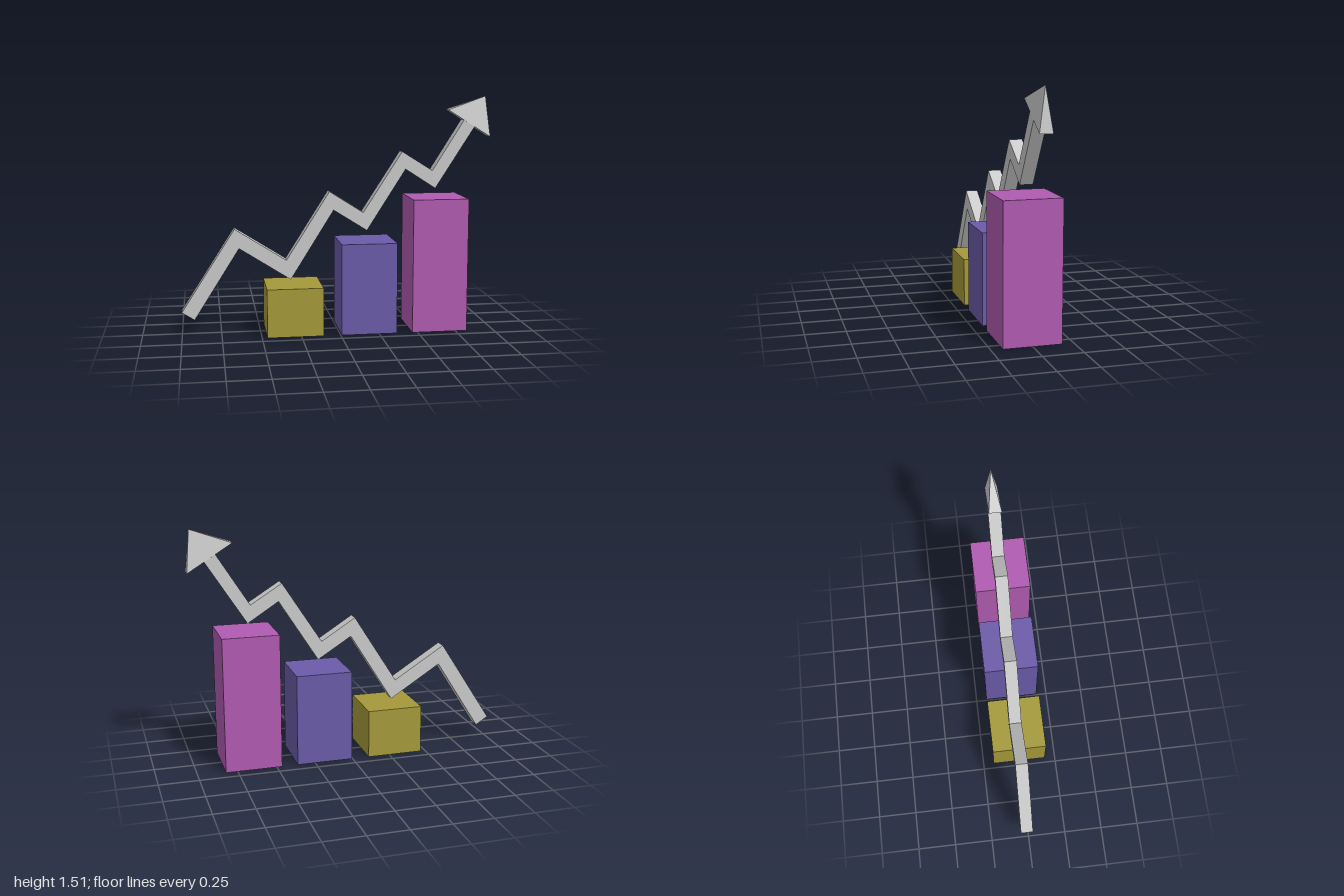
import * as THREE from 'three';

const flat = (name, color) => new THREE.MeshStandardMaterial({ name, color });

const Z_BACK = -0.053, Z_FRONT = 0.028;

// Zigzag ribbon of constant thickness, extruded from its outline
function ribbonGeometry() {
  const upper = [[-1, 0.145], [-0.66, 0.675], [-0.33, 0.466], [-0.052, 0.905], [0.168, 0.765], [0.42, 1.155], [0.62, 1.03], [0.825, 1.354]];
  const lower = [[-0.92, 0.094], [-0.632, 0.55], [-0.303, 0.34], [-0.025, 0.785], [0.192, 0.648], [0.443, 1.042], [0.64, 0.915], [0.895, 1.311]];
  const outline = [...lower, ...upper.reverse()].map(([x, y]) => new THREE.Vector2(x, y));
  const geometry = new THREE.ExtrudeGeometry(new THREE.Shape(outline), { depth: Z_FRONT - Z_BACK, bevelEnabled: false });
  return geometry.translate(0, 0, Z_BACK);
}

// Flat-faced pyramid with a rectangular base
function headGeometry() {
  const a = [0.72, 1.42, Z_FRONT], b = [1, 1.245, Z_FRONT];
  const c = [1, 1.245, Z_BACK], d = [0.72, 1.42, Z_BACK];
  const tip = [0.975, 1.507, (Z_FRONT + Z_BACK) / 2];
  const faces = [a, b, tip, b, c, tip, c, d, tip, d, a, tip, a, d, c, a, c, b];
  const geometry = new THREE.BufferGeometry();
  geometry.setAttribute('position', new THREE.Float32BufferAttribute(faces.flat(), 3));
  geometry.computeVertexNormals();
  return geometry;
}

export function createModel() {
  const model = new THREE.Group();
  model.name = 'growthChart';

  const add = (name, geometry, material, parent = model) => {
    const mesh = new THREE.Mesh(geometry, material);
    mesh.name = name;
    parent.add(mesh);
    return mesh;
  };

  // Three bars of rising height
  const bars = [
    ['shortBar', -0.288, 0.31, flat('olive', 0xa5993a)],
    ['middleBar', 0.185, 0.585, flat('violet', 0x6b5ba9)],
    ['tallBar', 0.645, 0.86, flat('magenta', 0xb05bb1)],
  ];
  for (const [name, x, height, material] of bars) {
    add(name, new THREE.BoxGeometry(0.358, height, 0.358), material).position.set(x, height / 2, 0);
  }

  // Rising arrow
  const grey = flat('lightGrey', 0xcacaca);
  const arrow = new THREE.Group();
  arrow.name = 'trendArrow';
  model.add(arrow);
  add('arrowShaft', ribbonGeometry(), grey, arrow);
  add('arrowHead', headGeometry(), grey, arrow);

  return model;
}
